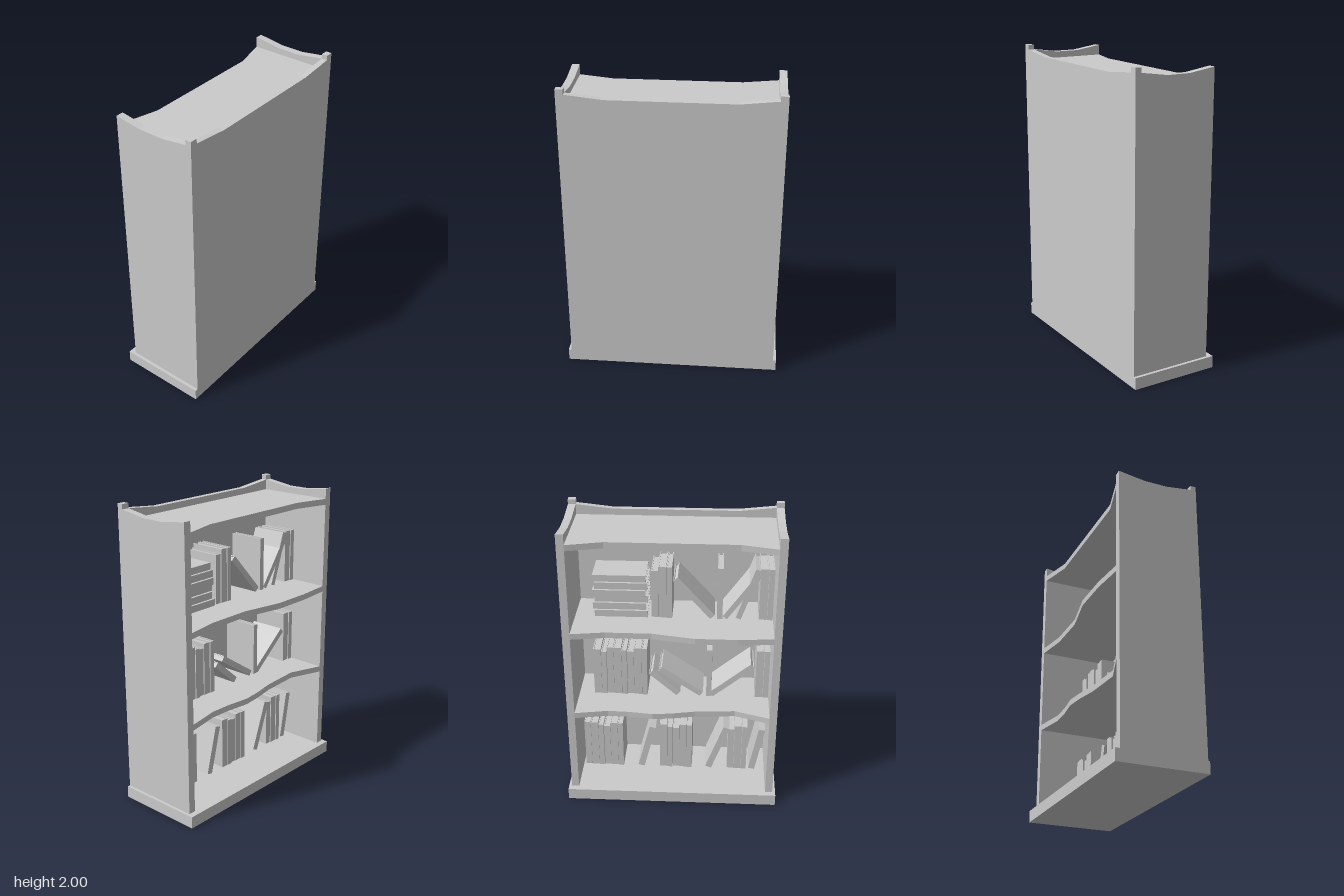
import * as THREE from 'three';

const material = new THREE.MeshStandardMaterial({ color: 0xcccccc, flatShading: true });

function addMesh(parent, name, geometry) {
  const mesh = new THREE.Mesh(geometry, material);
  mesh.name = name;
  parent.add(mesh);
  return mesh;
}

function box(parent, name, w, h, d, x, y, z) {
  const mesh = addMesh(parent, name, new THREE.BoxGeometry(w, h, d));
  mesh.position.set(x, y, z);
  return mesh;
}

function extrude(points, depth) {
  const shape = new THREE.Shape(points.map(([a, b]) => new THREE.Vector2(a, b)));
  return new THREE.ExtrudeGeometry(shape, { depth, bevelEnabled: false });
}

// Shelf with a wavy front edge given as [z, x] points
function shelf(parent, name, y, edge) {
  const outline = [...edge.map(([z, x]) => [x, -z]), [0.26, -0.65], [0.26, 0.65]];
  const geometry = extrude(outline, 0.04);
  geometry.rotateX(-Math.PI / 2);
  geometry.translate(0, y - 0.04, 0);
  addMesh(parent, name, geometry);
}

// Book standing with its spine to the open side; it tilts about its lower corner
function book(parent, y, [z, lean, t, h], front) {
  const group = new THREE.Group();
  group.name = 'book';
  const depth = 0.25, cover = 0.006, side = lean < 0 ? 1 : -1;
  const mid = side * t / 2;
  for (const s of [-1, 1]) {
    box(group, 'bookCover', depth, h, cover, depth / 2, h / 2, mid + s * (t - cover) / 2);
  }
  box(group, 'bookSpine', cover, h, t - 2 * cover, cover / 2, h / 2, mid);
  box(group, 'bookPages', depth - 0.016, h - 0.016, t - 2 * cover, depth / 2 - 0.002, h / 2, mid);
  group.position.set(front, y, z);
  group.rotation.x = lean;
  parent.add(group);
}

// Upright books side by side, running from z towards -z
function row(parent, y, z, count) {
  for (let i = 0; i < count; i++) {
    const t = 0.036 + 0.008 * ((i * 2) % 3);
    book(parent, y, [z, 0, t, 0.36 - 0.015 * ((i * 3) % 4 % 3)], 0.005 * (i % 3));
    z -= t + 0.002;
  }
}

export function createModel() {
  const model = new THREE.Group();
  model.name = 'bookcase';

  // Plinth
  box(model, 'base', 0.6, 0.08, 1.44, 0, 0.04, 0);

  // Side panels with a dipped top and a raised rear post
  const sideOutline = [[-0.26, 0.08], [0.3, 0.08], [0.3, 2], [0.26, 2], [0.26, 1.968],
    [0.08, 1.942], [-0.08, 1.942], [-0.26, 1.968]];
  for (const z of [-0.7, 0.65]) {
    const geometry = extrude(sideOutline, 0.05);
    geometry.translate(0, 0, z);
    addMesh(model, 'sidePanel', geometry);
  }

  // Back panel with a dipped top
  const back = extrude([[-0.65, 0.08], [0.65, 0.08], [0.65, 1.968], [0.41, 1.942],
    [-0.41, 1.942], [-0.65, 1.968]], 0.04);
  back.rotateY(Math.PI / 2);
  back.translate(0.26, 0, 0);
  addMesh(model, 'backPanel', back);

  // Shelves
  shelf(model, 'lowerShelf', 0.69, [[-0.65, -0.26], [-0.43, -0.22], [-0.29, -0.225],
    [-0.13, -0.245], [0, -0.23], [0.15, -0.2], [0.42, -0.18], [0.65, -0.26]]);
  shelf(model, 'upperShelf', 1.29, [[-0.65, -0.26], [-0.43, -0.225], [-0.13, -0.225],
    [0.15, -0.28], [0.42, -0.28], [0.65, -0.26]]);
  shelf(model, 'topShelf', 1.9, [[-0.65, -0.26], [-0.42, -0.2], [0.42, -0.2], [0.65, -0.26]]);

  const books = new THREE.Group();
  books.name = 'books';
  model.add(books);

  // Bottom compartment
  const low = 0.08, mid = 0.69, high = 1.29;
  row(books, low, 0.52, 3);
  row(books, low, 0.13, 5);
  row(books, low, -0.36, 6);
  for (const b of [[0.58, 0.19, 0.045, 0.34], [0.27, 0.35, 0.045, 0.36], [-0.21, 0.25, 0.045, 0.34]]) {
    book(books, low, b, 0);
  }

  // Middle compartment
  row(books, mid, 0.648, 2);
  row(books, mid, 0.26, 1);
  row(books, mid, -0.18, 8);
  for (const b of [[0.27, 0.88, 0.04, 0.36], [0.18, -0.98, 0.04, 0.34], [0.02, -0.85, 0.04, 0.25]]) {
    book(books, mid, b, 0);
  }

  // Upper compartment
  row(books, high, 0.648, 2);
  row(books, high, 0.32, 1);
  row(books, high, -0.01, 3);
  for (const b of [[0.44, 0.33, 0.035, 0.37], [0.35, 0.62, 0.035, 0.38], [0.24, -0.74, 0.04, 0.36]]) {
    book(books, high, b, 0);
  }

  // Stack of books lying flat
  for (let i = 0; i < 6; i++) {
    book(books, high + i * 0.048, [-0.17 - 0.012 * (i % 2), -Math.PI / 2, 0.046, 0.35], 0.012 * (i % 3));
  }
  return model;
}
